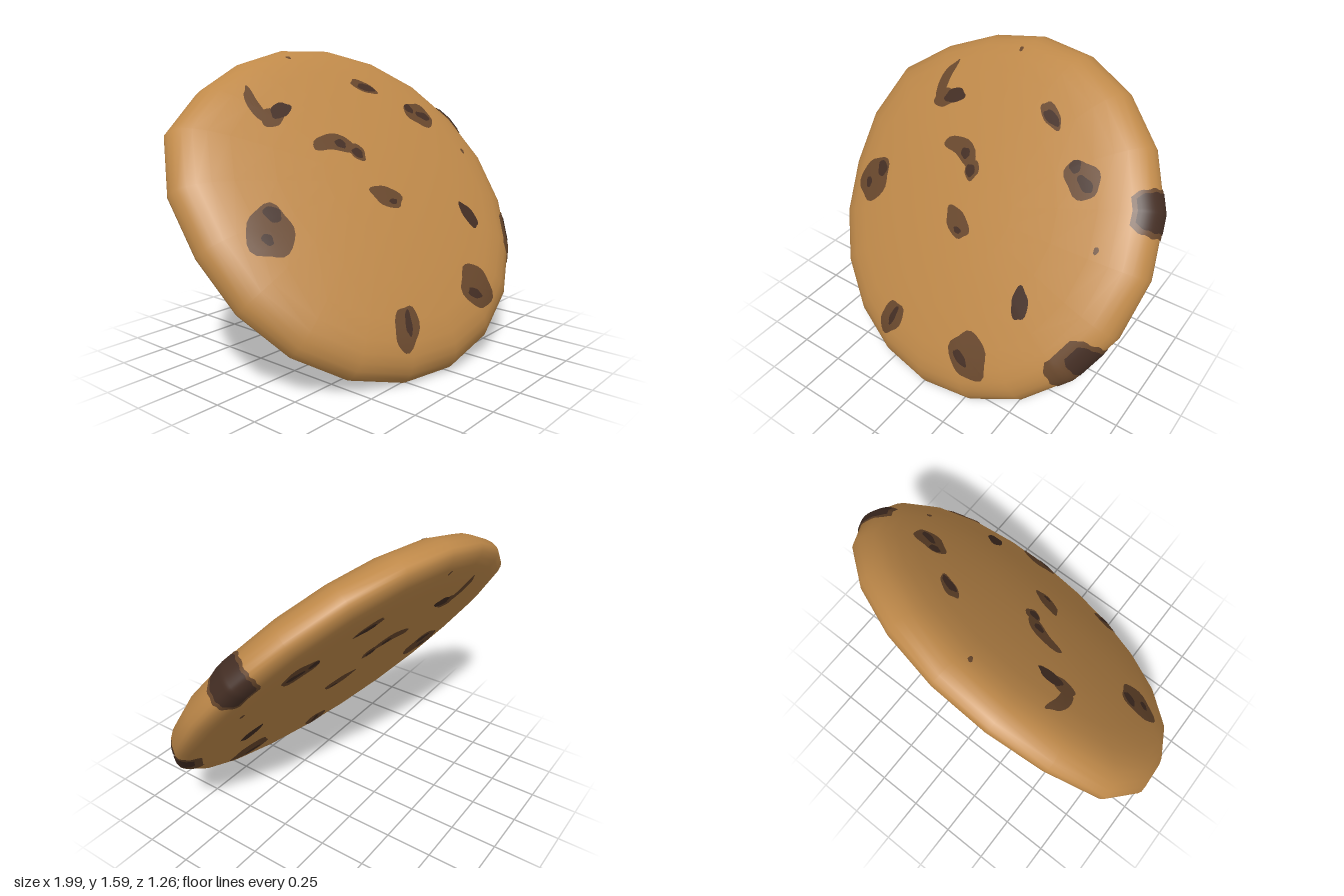
import * as THREE from 'three';
import { mergeVertices } from 'three/addons/utils/BufferGeometryUtils.js';

const SIDES = 20, STEP = (Math.PI * 2) / SIDES, TWIST = 0.026, CENTRE_Y = 0.81;

// Tilted frame of the disc: u and v lie in its face, n points out of the front
const n = new THREE.Vector3(-0.155, 0.595, 0.789).normalize();
const u = new THREE.Vector3(1, 0, 0).addScaledVector(n, -n.x).normalize();
const v = new THREE.Vector3().crossVectors(n, u);

// Corner radius: a little wider sideways, with a lump near the eighth corner
function cornerRadius(k) {
  const i = (k + SIDES) % SIDES;
  return 0.992 + 0.012 * Math.cos(2 * i * STEP) + 0.08 * Math.exp(-(((i - 8.2) / 1.1) ** 2));
}

// Height over the rim plane at relative radius r: domed front, flat back
function height(r, side) {
  return side > 0
    ? -0.01 + (0.225 - 0.09 * r * r) * Math.sqrt(1 - r ** 13)
    : -0.01 - 0.07 * Math.sqrt(1 - r ** 16);
}

function doughGeometry() {
  const radii = [0, 0.3, 0.55, 0.75, 0.85, 0.91, 0.95, 0.98, 0.995];
  const profile = [
    ...radii.map(r => new THREE.Vector2(r, height(r, -1))),
    new THREE.Vector2(1, -0.01),
    ...radii.reverse().map(r => new THREE.Vector2(r, height(r, 1))),
  ];
  let geo = new THREE.LatheGeometry(profile, SIDES);
  geo.rotateX(Math.PI / 2);
  const pos = geo.attributes.position;
  for (let i = 0; i < pos.count; i++) {
    const x = pos.getX(i), y = pos.getY(i);
    const r = cornerRadius(Math.round(Math.atan2(y, x) / STEP));
    pos.setXY(i, x * r, y * r);
  }
  geo.rotateZ(TWIST);
  geo.deleteAttribute('normal');
  geo.deleteAttribute('uv');
  geo = mergeVertices(geo, 1e-4);
  geo.computeVertexNormals();
  return geo;
}

// Point of the polygonal outline at an angle
function outline(angle) {
  const s = (angle - TWIST) / STEP, i = Math.floor(s), f = s - i;
  const corner = k => new THREE.Vector2(cornerRadius(k), 0)
    .rotateAround(new THREE.Vector2(), k * STEP + TWIST);
  const a = corner(i), b = corner(i + 1);
  const across = Math.sin(f * STEP) * a.length();
  const share = across / (across + Math.sin((1 - f) * STEP) * b.length());
  return a.lerp(b, Number.isFinite(share) ? 1 - (1 - share) : 0);
}

function heightAt(p, side) {
  const r = p.length() / outline(p.angle()).length();
  return height(Math.min(r, 0.995), side);
}

// Upright x, y of a spot on the domed front -> position in the face
function onFace(x, y) {
  const p = new THREE.Vector2();
  let k = 0.17;
  for (let i = 0; i < 8; i++) {
    p.x = (x - n.x * k) / u.x;
    p.y = (y - CENTRE_Y - n.y * k - u.y * p.x) / v.y;
    k = (k + heightAt(p, 1)) / 2;
  }
  return p;
}

// Grid of quads over (rows + 1) x (cols + 1) points
function sheet(rows, cols, at) {
  const pts = [], idx = [];
  for (let i = 0; i <= rows; i++) {
    for (let j = 0; j <= cols; j++) {
      pts.push(...at(i / rows, j / cols));
      if (i < rows && j < cols) {
        const a = i * (cols + 1) + j, b = a + cols + 1;
        idx.push(a, b, a + 1, b, b + 1, a + 1);
      }
    }
  }
  const geo = new THREE.BufferGeometry();
  geo.setAttribute('position', new THREE.Float32BufferAttribute(pts, 3));
  geo.setIndex(idx);
  geo.computeVertexNormals();
  return geo;
}

// Thin patch wrapped around the edge, from angle to angle in degrees
function rimPatch(from, to, inner, lift) {
  const mid = (from + to) / 2, half = (to - from) / 2;
  return sheet(12, 20, (s, t) => {
    const q = t * 2 - 1, r = 1 - (1 - inner) * q * q;
    const width = half * (1 - 0.35 * q ** 4 + 0.04 * Math.sin(t * 30));
    const p = outline(THREE.MathUtils.degToRad(mid + width * (s * 2 - 1)));
    p.multiplyScalar(r * (1 + lift));
    return [p.x, p.y, height(r, q) + lift * q];
  });
}

// Uneven thin chip on one side: centre, half sizes, turn, bend of its ends
function blob(side, lift, x, y, rx, ry, turn = 0, bend = 0) {
  return sheet(4, 24, (s, f) => {
    const t = f * Math.PI * 2 * side;
    const k = s * (1 + 0.07 * Math.sin(3 * t + x * 9) + 0.05 * Math.sin(5 * t + y * 7));
    const a = rx * k * Math.cos(t);
    const b = ry * k * Math.sin(t) + bend * (s * Math.cos(t)) ** 2;
    const p = onFace(
      x + a * Math.cos(turn) - b * Math.sin(turn),
      y + a * Math.sin(turn) + b * Math.cos(turn));
    return [p.x, p.y, heightAt(p, side) + lift * side];
  });
}

export function createModel() {
  const dough = new THREE.MeshStandardMaterial({ color: 0xc08a4a });
  const chip = new THREE.MeshStandardMaterial({ color: 0x69482d, side: THREE.DoubleSide });
  const dark = new THREE.MeshStandardMaterial({ color: 0x442e24, side: THREE.DoubleSide });
  dough.name = 'baked dough';
  chip.name = 'chocolate';
  dark.name = 'dark chocolate';

  const cookie = new THREE.Group();
  cookie.name = 'cookie';
  const add = (name, geo, material) => {
    const mesh = new THREE.Mesh(geo, material);
    mesh.name = name;
    cookie.add(mesh);
  };

  add('dough', doughGeometry(), dough);

  // Chips go right through, so each shows on the front and the back
  const addBoth = (name, material, lift, size) => {
    add(name + 'Front', blob(1, lift, ...size), material);
    add(name + 'Back', blob(-1, lift, ...size), material);
  };
  const addChip = (...size) => addBoth('chip', chip, 0.003, size);
  const addSpot = (...size) => addBoth('darkSpot', dark, 0.006, size);

  // Left chip
  addChip(-0.725, 0.79, 0.13, 0.095, 0.7);
  addSpot(-0.68, 0.86, 0.04, 0.035);
  addSpot(-0.755, 0.76, 0.025, 0.025);
  // Upper left crescent
  addChip(-0.475, 1.33, 0.095, 0.034, 1.6, -0.035);
  addChip(-0.425, 1.278, 0.07, 0.04, 0.3);
  addSpot(-0.355, 1.308, 0.07, 0.03, 0.35);
  // Bent chip above the middle
  addChip(-0.16, 1.147, 0.13, 0.042, -0.15, -0.04);
  addChip(-0.06, 1.09, 0.045, 0.042);
  addSpot(-0.135, 1.135, 0.03, 0.022);
  addSpot(-0.065, 1.085, 0.03, 0.025);
  // Middle chip
  addChip(-0.03, 0.872, 0.09, 0.052, -0.3);
  addSpot(-0.01, 0.845, 0.025, 0.013);
  // Upper right chips
  addChip(0.26, 1.41, 0.078, 0.033, -0.35);
  addSpot(0.27, 1.403, 0.055, 0.02, -0.2);
  addChip(0.545, 1.245, 0.1, 0.065, -0.2);
  addSpot(0.49, 1.28, 0.03, 0.025);
  addSpot(0.57, 1.235, 0.05, 0.022, -0.3);
  // Dark chip on the right
  addSpot(0.475, 0.715, 0.07, 0.045, -1.2);
  // Lower chips
  addChip(0.29, 0.385, 0.12, 0.108, -0.4);
  addSpot(0.25, 0.36, 0.05, 0.025, -0.4);
  addChip(-0.265, 0.3, 0.11, 0.065, 1);
  addSpot(-0.25, 0.32, 0.018, 0.06, -0.3);
  // Crumbs
  addChip(0.74, 1.03, 0.012, 0.015);
  addChip(-0.08, 1.572, 0.012, 0.008);

  // Chips on the edge
  add('upperRimChip', rimPatch(12.5, 26, 0.9, 0.004), chip);
  add('upperRimDarkSpot', rimPatch(14, 25, 0.92, 0.007), dark);
  add('lowerRimChip', rimPatch(-39.5, -21, 0.89, 0.004), chip);
  add('lowerRimDarkSpot', rimPatch(-32, -22.5, 0.93, 0.007), dark);

  cookie.quaternion.setFromRotationMatrix(new THREE.Matrix4().makeBasis(u, v, n));
  cookie.position.y = CENTRE_Y;
  const model = new THREE.Group();
  model.name = 'tiltedCookie';
  model.add(cookie);
  return model;
}
